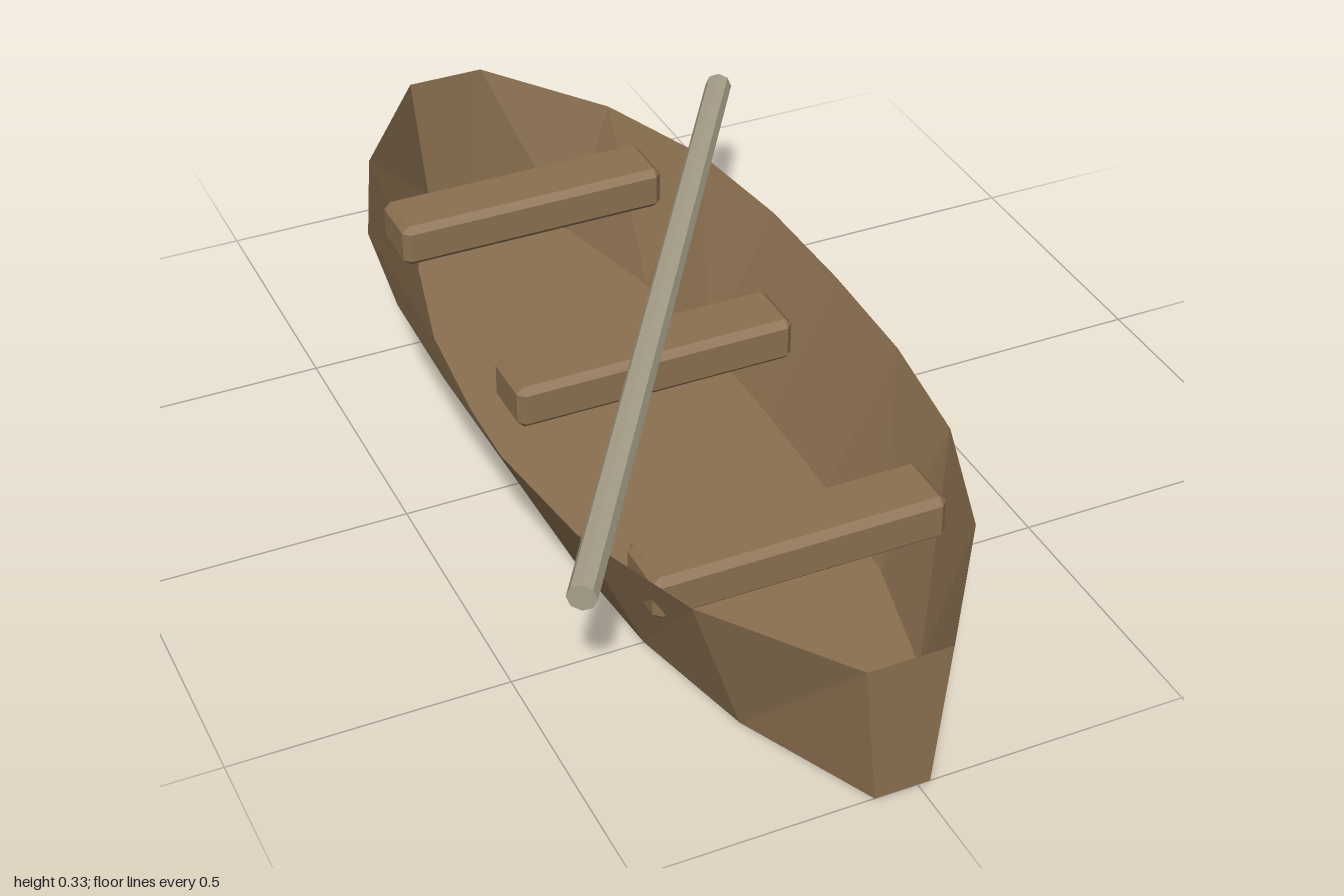
import * as THREE from 'three';
import { ConvexGeometry } from 'three/addons/geometries/ConvexGeometry.js';

const HULL_X = -0.0275, HEIGHT = 0.275, FLOOR_SCALE = 0.655;

// Half widths of the rim at stations along z
const stations = [[-1, 0.077], [-0.75, 0.257], [-0.5, 0.349], [-0.25, 0.382], [0, 0.388],
  [0.25, 0.382], [0.5, 0.349], [0.75, 0.257], [1, 0.077]];

function hullSides() {
  // Closed outline: +x side from front to back, then -x side from back to front
  const outline = [
    ...[...stations].reverse().map(([z, w]) => [w, z]),
    ...stations.map(([z, w]) => [-w, z]),
  ];
  const pos = [];
  outline.forEach(([x0, z0], i) => {
    const [x1, z1] = outline[(i + 1) % outline.length];
    const a = [x0 * FLOOR_SCALE, 0, z0], b = [x1 * FLOOR_SCALE, 0, z1];
    const c = [x1, HEIGHT, z1], d = [x0, HEIGHT, z0];
    pos.push(...a, ...b, ...c, ...a, ...c, ...d);
  });
  const geo = new THREE.BufferGeometry();
  geo.setAttribute('position', new THREE.Float32BufferAttribute(pos, 3));
  geo.computeVertexNormals();
  return geo;
}

function floorPanel() {
  const pts = [
    ...stations.map(([z, w]) => new THREE.Vector2(w * FLOOR_SCALE, -z)),
    ...[...stations].reverse().map(([z, w]) => new THREE.Vector2(-w * FLOOR_SCALE, -z)),
  ];
  return new THREE.ShapeGeometry(new THREE.Shape(pts)).rotateX(-Math.PI / 2);
}

// Box with chamfered edges and corners
function chamferedBox(w, h, d, c) {
  const pts = [];
  for (const sx of [-1, 1]) for (const sy of [-1, 1]) for (const sz of [-1, 1]) {
    const x = w / 2, y = h / 2, z = d / 2;
    pts.push(
      new THREE.Vector3(sx * x, sy * (y - c), sz * (z - c)),
      new THREE.Vector3(sx * (x - c), sy * y, sz * (z - c)),
      new THREE.Vector3(sx * (x - c), sy * (y - c), sz * z));
  }
  return new ConvexGeometry(pts);
}

export function createModel() {
  const group = new THREE.Group();
  const wood = new THREE.MeshStandardMaterial({ color: 0x8b7050, flatShading: true, side: THREE.DoubleSide });
  wood.name = 'brown wood';
  const pale = new THREE.MeshStandardMaterial({ color: 0xa8a08a, flatShading: true });
  pale.name = 'pale wood';

  const add = (name, geo, mat, x, y, z) => {
    const mesh = new THREE.Mesh(geo, mat);
    mesh.name = name;
    mesh.position.set(x, y, z);
    group.add(mesh);
    return mesh;
  };

  // Open thin-walled hull
  add('hullSides', hullSides(), wood, HULL_X, 0, 0);
  add('hullFloor', floorPanel(), wood, HULL_X, 0, 0);

  // Three cross benches
  const bench = chamferedBox(0.543, 0.086, 0.125, 0.013);
  [['backSeat', -0.58], ['middleSeat', 0], ['frontSeat', 0.58]].forEach(([name, z]) =>
    add(name, bench, wood, HULL_X, 0.206, z));

  // Pole laid diagonally above the rim
  const pole = new THREE.CylinderGeometry(0.026, 0.026, 1.64, 8).rotateX(Math.PI / 2);
  add('pole', pole, pale, 0, 0.306, 0).rotation.y = -0.576;

  return group;
}
